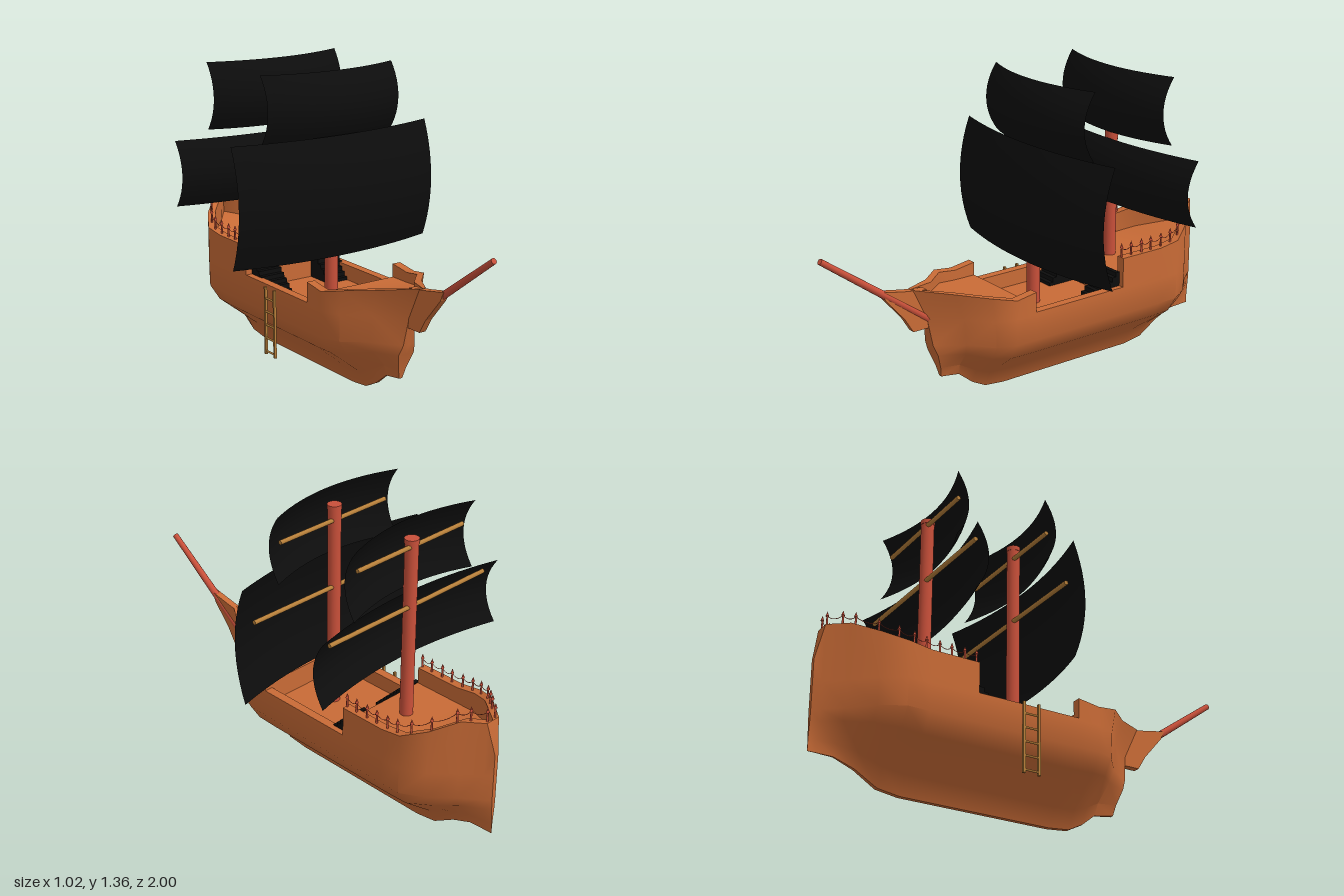
import * as THREE from 'three';
import { toCreasedNormals } from 'three/addons/utils/BufferGeometryUtils.js';

const CX = -0.013; // centreline of the ship
const mat = (color, side = THREE.FrontSide) =>
  new THREE.MeshStandardMaterial({ color, side });
const WOOD = mat(0xc96b36), RED = mat(0xc9503a), YARD = mat(0xb8803a);
const BLACK = mat(0x0d0d0d), SAIL = mat(0x0d0d0d, THREE.DoubleSide);
const V = (x, y, z) => new THREE.Vector3(x, y, z);

function add(parent, name, geo, material, x = 0, y = 0, z = 0) {
  const m = new THREE.Mesh(geo, material);
  m.name = name;
  m.position.set(x, y, z);
  parent.add(m);
  return m;
}

// Round bar between two points
function bar(parent, name, a, b, r, material, sides = 8, rTop = r) {
  const d = b.clone().sub(a);
  const m = add(parent, name, new THREE.CylinderGeometry(rTop, r, d.length(), sides), material);
  m.position.copy(a).add(b).multiplyScalar(0.5);
  m.quaternion.setFromUnitVectors(V(0, 1, 0), d.normalize());
  return m;
}

// Stations from stern to bow: z, half width, keel y, rail y, deck y
const STATIONS = [
  [-1.0, 0, 0.11, 0.5, 0.49], [-1.0, 0.01, 0.11, 0.5, 0.49],
  [-0.97, 0.035, 0.11, 0.65, 0.54], [-0.89, 0.1, 0.108, 0.65, 0.53],
  [-0.8, 0.19, 0.075, 0.6, 0.5], [-0.7, 0.248, 0.015, 0.56, 0.47],
  [-0.6, 0.248, 0, 0.545, 0.47], [-0.38, 0.248, 0, 0.545, 0.47],
  [-0.38, 0.248, 0, 0.41, 0.34], [0.1, 0.248, 0, 0.41, 0.34],
  [0.1, 0.248, 0, 0.5, 0.44], [0.2, 0.248, 0.01, 0.485, 0.44],
  [0.31, 0.215, 0.045, 0.51, 0.46], [0.42, 0.113, 0.1, 0.522, 0.48],
  [0.57, 0.015, 0.115, 0.547, 0.51], [0.57, 0, 0.115, 0.547, 0.51],
];
const LEVELS = [0, 0.08, 0.2, 0.28];       // heights below the waist
const FULL = [0.04, 0.2, 0.79, 0.99];      // width share at those heights
const STEM_Z = [0.43, 0.44, 0.465, 0.483]; // raked stem
const STEM_W = [0.008, 0.02, 0.04, 0.03];

// One half section: keel, side, rail, inner bulwark, deck centre
function section([z, w, keel, rail, deck]) {
  const rake = (s) => (z > 0.2 ? 0.2 + (z - 0.2) * (s - 0.2) / 0.37 : z);
  const pts = [V(0, keel, rake(STEM_Z[0]))];
  LEVELS.forEach((l, j) => {
    const x = z === 0.57 ? (w ? STEM_W[j] : 0) : w * FULL[j];
    pts.push(V(x, keel + l * (0.28 - keel) / 0.28, rake(STEM_Z[j])));
  });
  const inner = Math.max(0, w - 0.04);
  pts.push(V(w, 0.4, rake(0.5)), V(w, rail, z), V(inner, rail, z), V(inner, deck, z), V(0, deck, z));
  return pts;
}

function hullGeometry() {
  const rows = STATIONS.map(section), pos = [];
  const tri = (a, b, c) => {
    if (b.clone().sub(a).cross(c.clone().sub(a)).length() < 1e-7) return;
    for (const p of [a, b, c]) pos.push(p.x, p.y, p.z);
    for (const p of [a, c, b]) pos.push(-p.x, p.y, p.z);
  };
  for (let i = 0; i < rows.length - 1; i++) {
    for (let j = 0; j < rows[0].length - 1; j++) {
      const a = rows[i][j], b = rows[i + 1][j], c = rows[i + 1][j + 1], d = rows[i][j + 1];
      tri(a, d, b);
      tri(b, d, c);
    }
  }
  const g = new THREE.BufferGeometry();
  g.setAttribute('position', new THREE.Float32BufferAttribute(pos, 3));
  return toCreasedNormals(g, 0.7);
}

// Half width and rail height of the hull at a given z
function railAt(z) {
  const k = STATIONS.findIndex((s, i) => i > 0 && s[0] >= z && s[0] > STATIONS[i - 1][0]);
  const a = STATIONS[k - 1], b = STATIONS[k], t = (z - a[0]) / (b[0] - a[0]);
  return { w: a[1] + (b[1] - a[1]) * t, y: a[3] + (b[3] - a[3]) * t };
}

// Sail billowing forward, its side edges swept back
function sail(parent, name, half, y0, y1, z) {
  const g = new THREE.PlaneGeometry(2, 2, 20, 12), p = g.attributes.position;
  for (let i = 0; i < p.count; i++) {
    const u = p.getX(i), v = p.getY(i);
    p.setXYZ(i, u * half, (y0 + y1) / 2 + v * (y1 - y0) / 2, z + 0.055 * (1 - v * v) - 0.07 * u * u);
  }
  g.computeVertexNormals();
  add(parent, name, g, SAIL);
}

export function createModel() {
  const ship = new THREE.Group();
  ship.name = 'sailingShip';
  add(ship, 'hull', hullGeometry(), WOOD, CX);

  // Beak under the bowsprit
  const beak = new THREE.Shape([[0.46, 0.36], [0.57, 0.36], [0.61, 0.425], [0.7, 0.53], [0.72, 0.572],
    [0.6, 0.549], [0.5, 0.535]].map(([z, y]) => new THREE.Vector2(z, y)));
  const beakGeo = new THREE.ExtrudeGeometry(beak, { depth: 0.032, bevelEnabled: false });
  beakGeo.rotateY(-Math.PI / 2);
  add(ship, 'beak', beakGeo, WOOD, CX + 0.016);
  bar(ship, 'bowsprit', V(CX + 0.003, 0.4, 0.49), V(CX + 0.003, 0.765, 0.992), 0.019, RED, 12, 0.013);

  // Masts with yards and sails
  const masts = [
    { name: 'foremast', z: -0.072, base: 0.34,
      sails: [[0.51, 0.545, 1.08, -0.015, 0.91], [0.342, 1.055, 1.355, -0.045, 1.22]] },
    { name: 'aftMast', z: -0.507, base: 0.47,
      sails: [[0.51, 0.73, 1.025, -0.475, 0.985], [0.342, 1.055, 1.355, -0.475, 1.255]] },
  ];
  for (const m of masts) {
    const g = new THREE.Group();
    g.name = m.name;
    ship.add(g);
    bar(g, 'mastPole', V(CX, m.base, m.z), V(CX, 1.285, m.z), 0.029, RED, 20);
    bar(g, 'mastCap', V(CX, 1.265, m.z), V(CX, 1.286, m.z), 0.031, RED, 20);
    for (const [half, y0, y1, z, yardY] of m.sails) {
      sail(g, 'sail', half, y0, y1, z);
      const len = half * 0.88;
      bar(g, 'yard', V(-len, yardY, m.z - 0.01), V(len, yardY, m.z - 0.01), 0.01, YARD);
    }
  }

  // Stairs from the waist to the aft deck
  for (const x of [-0.17, 0.15]) {
    const stairs = new THREE.Group();
    stairs.name = 'stairs';
    ship.add(stairs);
    for (let i = 0; i < 7; i++) {
      const h = 0.02 * (i + 1);
      add(stairs, 'step', new THREE.BoxGeometry(0.12, h, 0.02), BLACK, x, 0.335 + h / 2, -0.25 - i * 0.02);
    }
  }

  // Pointed posts and slack ropes round the aft deck
  const postZ = [-0.385, -0.44, -0.5, -0.555, -0.615, -0.67, -0.73, -0.8, -0.87, -0.91, -0.96];
  const railing = new THREE.Group();
  railing.name = 'aftRailing';
  ship.add(railing);
  for (const s of [-1, 1]) {
    const feet = postZ.map((z) => {
      const r = railAt(z);
      return V(CX + s * Math.max(0.02, r.w - 0.02), r.y, z);
    });
    feet.forEach((f, i) => {
      add(railing, 'post', new THREE.CylinderGeometry(0.004, 0.005, 0.05, 6), RED, f.x, f.y + 0.022, f.z);
      add(railing, 'postTip', new THREE.ConeGeometry(0.008, 0.022, 6), RED, f.x, f.y + 0.054, f.z);
      if (i === 0) return;
      const a = feet[i - 1].clone(), b = f.clone();
      a.y += 0.042;
      b.y += 0.042;
      const mid = a.clone().add(b).multiplyScalar(0.5);
      mid.y -= 0.025;
      const curve = new THREE.QuadraticBezierCurve3(a, mid, b);
      add(railing, 'rope', new THREE.TubeGeometry(curve, 6, 0.0015, 4), RED);
    });
  }

  // Boarding ladder on the right side
  const ladder = new THREE.Group();
  ladder.name = 'ladder';
  ship.add(ladder);
  for (const z of [-0.185, -0.115]) {
    add(ladder, 'ladderRail', new THREE.BoxGeometry(0.011, 0.31, 0.011), YARD, -0.285, 0.255, z);
  }
  for (let i = 0; i < 5; i++) {
    const y = 0.115 + i * 0.061;
    bar(ladder, 'rung', V(-0.285, y, -0.185), V(-0.285, y, -0.115), 0.005, YARD, 6);
  }
  return ship;
}
